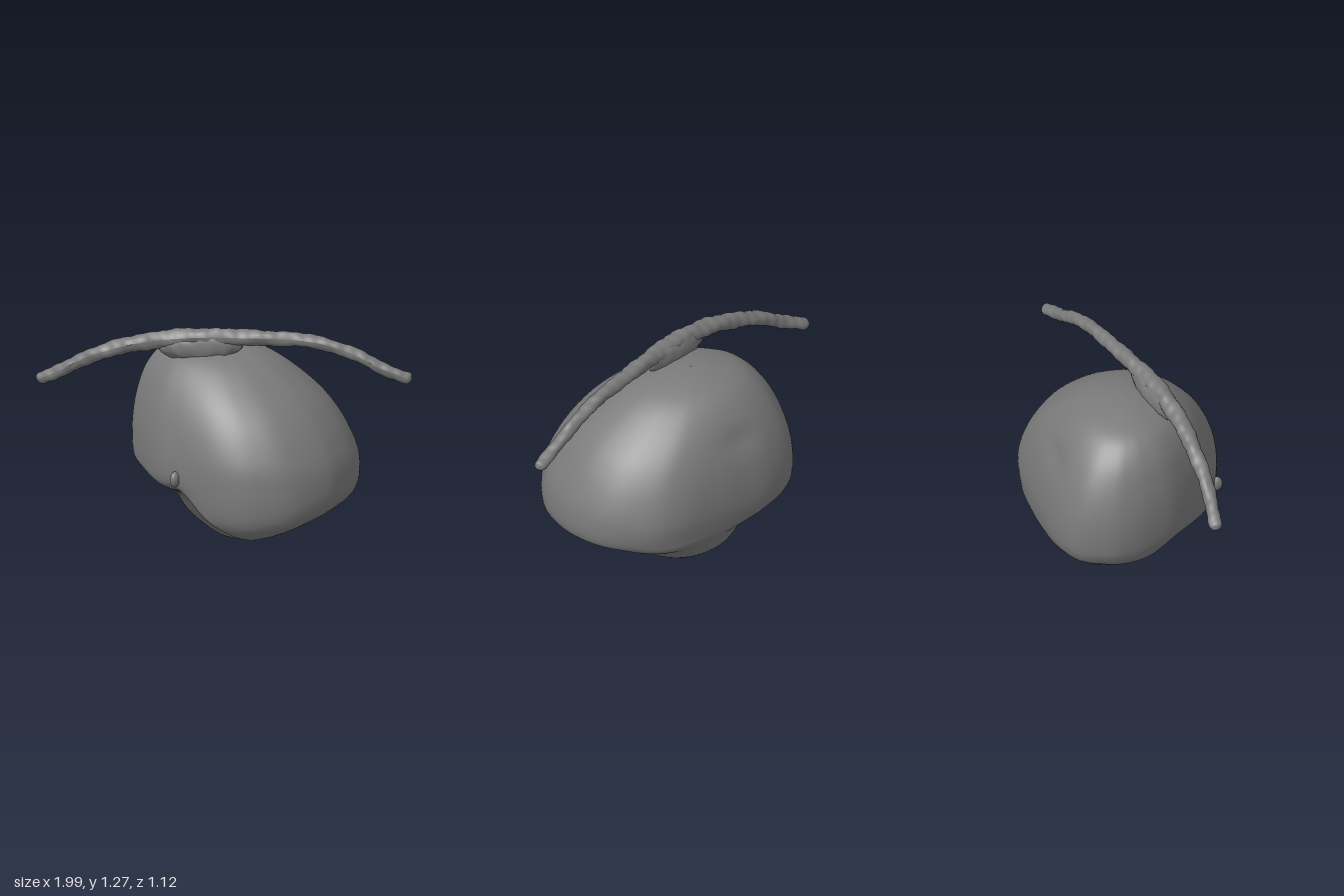
import * as THREE from 'three';

const mat = new THREE.MeshStandardMaterial({ color: 0x7a7a7a, side: THREE.DoubleSide });
const V = (x, y, z) => new THREE.Vector3(x, y, z);

// Widest outline going front, left, back, right: x, z, shoulder height, rim height, rim inset
const OUTLINE = [
  [0, 0.52, 0.44, 0.405, 0.94], [0.2, 0.545, 0.33, 0.27, 0.94], [0.36, 0.53, 0.27, 0.19, 0.86],
  [0.5, 0.47, 0.25, 0.155, 0.78], [0.65, 0.34, 0.27, 0.18, 0.74], [0.74, 0.15, 0.32, 0.215, 0.72],
  [0.755, 0, 0.34, 0.24, 0.73], [0.72, -0.2, 0.36, 0.28, 0.79], [0.6, -0.4, 0.38, 0.32, 0.88],
  [0.4, -0.535, 0.4, 0.345, 0.94], [0.22, -0.565, 0.4, 0.35, 0.96], [0, -0.53, 0.4, 0.35, 0.96],
  [-0.2, -0.485, 0.41, 0.355, 0.95], [-0.4, -0.425, 0.42, 0.365, 0.93], [-0.575, -0.305, 0.43, 0.37, 0.92],
  [-0.632, -0.13, 0.44, 0.37, 0.91], [-0.615, 0, 0.44, 0.37, 0.92], [-0.56, 0.13, 0.45, 0.385, 0.93],
  [-0.445, 0.285, 0.47, 0.435, 0.93], [-0.2, 0.46, 0.44, 0.405, 0.93],
];
// Dome levels: height, scale of the outline, centre x
const DOME = [
  [1.165, 0.002, -0.09], [1.155, 0.18, -0.09], [1.1, 0.46, -0.085], [1.0, 0.66, -0.052],
  [0.85, 0.84, -0.002], [0.68, 0.954, 0.035], [0.52, 1, 0.0625],
];

// Control points down one meridian, from the crown to the bottom of the bowl
function meridian([x, z, shoulderY, rimY, inset]) {
  const cx = 0.0625, dx = x - cx;
  // the outline rounds off into an ellipse towards the crown
  const e = Math.atan2(z / 0.555, dx / 0.69);
  const pts = DOME.map(([y, s, c]) => {
    const t = Math.min(1, (1 - s) * 2);
    return V(c + s * THREE.MathUtils.lerp(dx, 0.69 * Math.cos(e), t), y, s * THREE.MathUtils.lerp(z, 0.555 * Math.sin(e), t));
  });
  pts.push(V(cx + dx * 0.98, shoulderY, z * 0.98));
  const rim = V(cx + dx * inset, rimY, z * inset);
  const a = Math.atan2(z + 0.1, x - 0.02);
  const wide = 1 + 0.1 * Math.max(0, Math.cos(a));
  const bowl = (r, y) => V(0.02 + Math.cos(a) * r * wide, y, -0.1 + Math.sin(a) * r);
  const under = bowl(0.31, 0.18);
  // the underside is hollowed on the right and front, straight at the back
  const mid = rim.clone().lerp(under, 0.5);
  mid.y += 0.015 + 0.015 * Math.sin(a) + 0.05 * Math.max(0, -Math.cos(a));
  pts.push(rim, mid, under, bowl(0.24, 0.11), bowl(0.15, 0.045), bowl(0.06, 0.008), bowl(0.001, 0));
  return pts;
}

// Lofted skin: smooth around each level, then smooth down each column
function bodyGeometry(cols = 120, rows = 90) {
  const keys = OUTLINE.map(meridian);
  const rings = keys[0].map((_, k) => new THREE.CatmullRomCurve3(keys.map(m => m[k]), true, 'catmullrom', 0.5));
  const pos = [], idx = [];
  for (let j = 0; j < cols; j++) {
    const column = new THREE.CatmullRomCurve3(rings.map(r => r.getPoint(j / cols)));
    for (let i = 0; i <= rows; i++) {
      const p = column.getPoint(i / rows);
      // shallow dent on the back
      const d = Math.hypot((p.x + 0.2) * 0.6, p.y - 0.87, p.z + 0.38);
      p.z += 0.02 * Math.exp(-d * d / 0.006);
      pos.push(p.x, p.y, p.z);
      if (i < rows) {
        const a = j * (rows + 1) + i, b = ((j + 1) % cols) * (rows + 1) + i;
        idx.push(a, a + 1, b + 1, a, b + 1, b);
      }
    }
  }
  const g = new THREE.BufferGeometry();
  g.setAttribute('position', new THREE.Float32BufferAttribute(pos, 3));
  g.setIndex(idx);
  g.computeVertexNormals();
  return g;
}

// Gnarled twig: a tube with rounded ends and twisting ridges
function twigGeometry() {
  const curve = new THREE.CatmullRomCurve3([
    V(-0.995, 0.885, 0.44), V(-0.85, 0.955, 0.425), V(-0.7, 1.045, 0.395), V(-0.5, 1.13, 0.34),
    V(-0.3, 1.185, 0.275), V(-0.1, 1.215, 0.195), V(0.05, 1.222, 0.125), V(0.3, 1.222, -0.01),
    V(0.5, 1.21, -0.11), V(0.7, 1.15, -0.205), V(0.85, 1.07, -0.275), V(0.995, 1.012, -0.35),
  ]);
  const n = 200, sides = 16;
  const g = new THREE.TubeGeometry(curve, n, 1, sides);
  const p = g.attributes.position, v = V(0, 0, 0);
  for (let i = 0; i <= n; i++) {
    const u = i / n, c = curve.getPointAt(u);
    const end = Math.min(u, 1 - u);
    const cap = Math.sqrt(Math.max(0, 1 - Math.max(0, 1 - end / 0.015) ** 2));
    const size = (0.035 + 0.016 * Math.exp(-(((u - 0.42) / 0.26) ** 2))) * cap;
    for (let j = 0; j <= sides; j++) {
      const t = j / sides * Math.PI * 2, k = i * (sides + 1) + j;
      const bump = 1 + 0.035 * Math.sin(u * 190 + t) + 0.05 * Math.sin(u * 73 + 2 * t) + 0.05 * Math.sin(3 * t - u * 40);
      v.fromBufferAttribute(p, k).sub(c).multiplyScalar(size * bump).add(c);
      p.setXYZ(k, v.x, v.y, v.z);
    }
  }
  g.computeVertexNormals();
  return g;
}

// Rough joint between twig and crown, flaring upwards along the twig
function jointGeometry() {
  const g = new THREE.SphereGeometry(1, 40, 28);
  const p = g.attributes.position;
  for (let i = 0; i < p.count; i++) {
    const x = p.getX(i), y = p.getY(i), z = p.getZ(i);
    const s = 1 + 0.03 * Math.sin(17 * x + 5 * y) + 0.03 * Math.sin(11 * z - 9 * x);
    p.setXYZ(i, x * s * (0.24 + 0.04 * y), y * s * 0.095, z * s * 0.062);
  }
  g.computeVertexNormals();
  return g;
}

export function createModel() {
  const group = new THREE.Group();
  const add = (name, geometry) => {
    const mesh = new THREE.Mesh(geometry, mat);
    mesh.name = name;
    group.add(mesh);
    return mesh;
  };
  add('fruitBody', bodyGeometry());
  add('twig', twigGeometry());

  const joint = add('stemJoint', jointGeometry());
  joint.position.set(-0.07, 1.165, 0.175);
  joint.rotation.set(0, 0.45, 0.08);

  const nub = add('frontNub', new THREE.SphereGeometry(1, 20, 14));
  nub.scale.set(0.026, 0.045, 0.034);
  nub.position.set(-0.012, 0.48, 0.525);
  return group;
}
